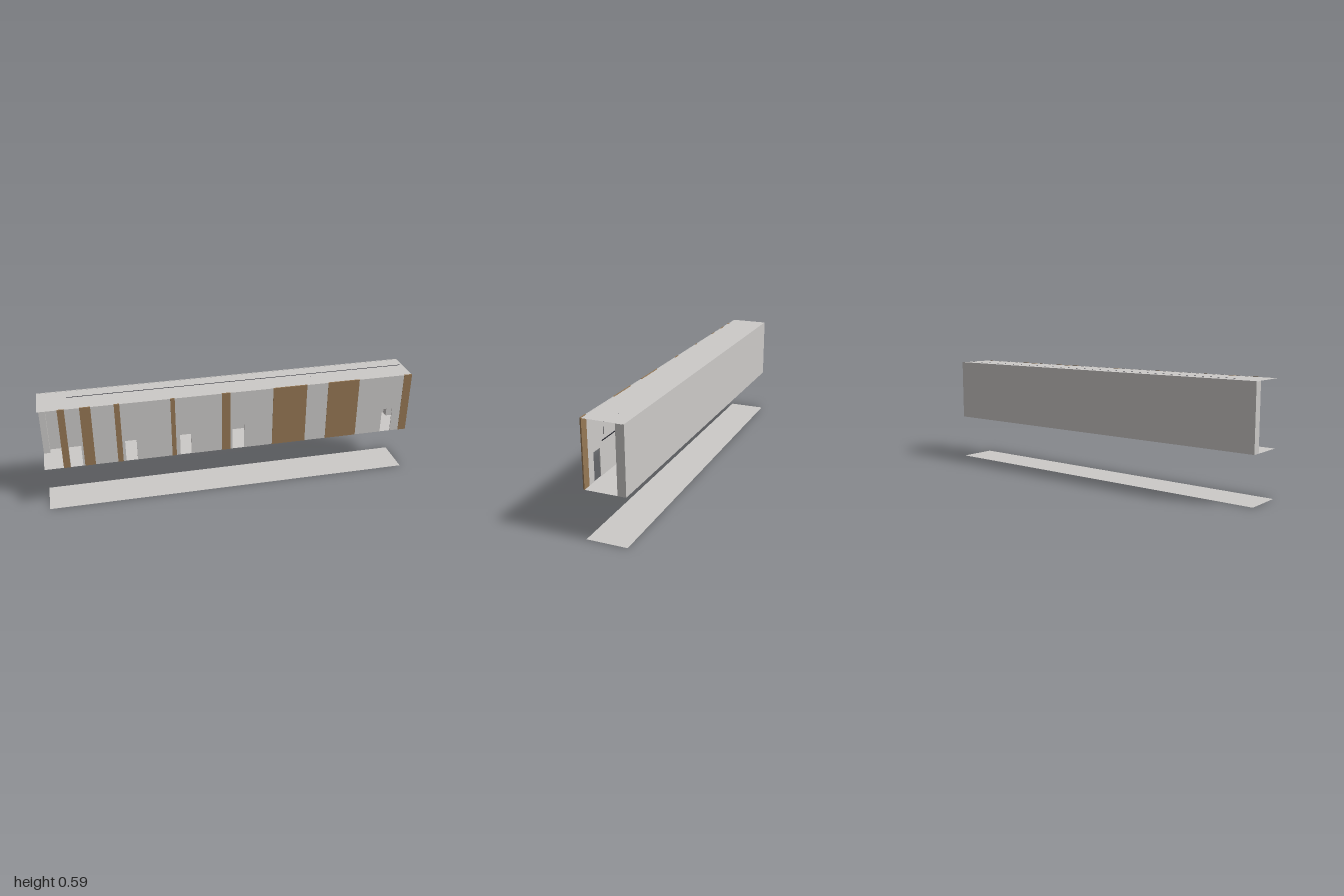
import * as THREE from 'three';

const mat = (name, color, side = THREE.FrontSide) => {
  const m = new THREE.MeshStandardMaterial({ color, side });
  m.name = name;
  return m;
};

export function createModel() {
  const root = new THREE.Group();
  root.name = 'corridor';
  const plaster = mat('plaster', 0xcccac8, THREE.DoubleSide);
  const wood = mat('wood', 0x967855);
  const dark = mat('dark metal', 0x26262e);
  const leafMat = mat('leaf', 0x33381f, THREE.DoubleSide);
  const bark = mat('bark', 0x2c2418);

  const FLOOR = 0.248, TOP = 0.587, DOOR = 0.39;
  const add = (name, geometry, material, parent = root) => {
    const m = new THREE.Mesh(geometry, material);
    m.name = name;
    parent.add(m);
    return m;
  };
  // Box given by its limits on each axis
  const box = (name, x0, x1, y0, y1, z0, z1, material) => {
    const m = add(name, new THREE.BoxGeometry(x1 - x0, y1 - y0, z1 - z0), material);
    m.position.set((x0 + x1) / 2, (y0 + y1) / 2, (z0 + z1) / 2);
    return m;
  };

  // Ground sheet, floor and ceiling
  for (const [name, y] of [['groundSheet', 0], ['floor', FLOOR], ['ceiling', TOP - 0.001]]) {
    const g = new THREE.PlaneGeometry(2, 0.208).rotateX(-Math.PI / 2);
    add(name, g, plaster).position.y = y;
  }

  // Front wall with door openings cut up from the floor
  const doors = [[-0.863, -0.8], [-0.575, -0.515], [-0.286, -0.227], [-0.003, 0.062], [0.847, 0.907]];
  const wall = new THREE.Shape();
  wall.moveTo(-0.9, TOP);
  wall.lineTo(-0.9, FLOOR);
  for (const [a, b] of doors) {
    wall.lineTo(a, FLOOR);
    wall.lineTo(a, DOOR);
    wall.lineTo(b, DOOR);
    wall.lineTo(b, FLOOR);
  }
  wall.lineTo(1, FLOOR);
  wall.lineTo(1, TOP);
  const wallGeo = new THREE.ExtrudeGeometry(wall, { depth: 0.004, bevelEnabled: false });
  add('frontWall', wallGeo, plaster).position.z = 0.101;

  // Timber panels set in the front wall
  const panels = [[-0.9, -0.865], [-0.79, -0.735], [-0.618, -0.59], [-0.33, -0.307],
    [-0.06, -0.013], [0.218, 0.404], [0.522, 0.698], [0.955, 1]];
  for (const [a, b] of panels) box('timberPanel', a, b, FLOOR, TOP + 0.0005, 0.1, 0.1065, wood);

  // Back wall and its pilasters
  box('backWall', -1, 1, FLOOR, TOP, -0.1055, -0.1, plaster);
  for (const [a, b] of [[-1, -0.967], [-0.365, -0.3], [0.295, 0.36], [0.955, 1]])
    box('pilaster', a, b, FLOOR, TOP - 0.002, -0.105, -0.063, plaster);

  // Wall screens
  for (const x of [-0.545, -0.19]) box('wallScreen', x, x + 0.2, 0.31, 0.425, -0.1, -0.094, dark);

  // Hanging light bar with wires, and ceiling track
  box('lightBar', -0.85, 0.985, 0.49, 0.493, 0.008, 0.012, dark);
  for (let i = 0; i < 8; i++) {
    const x = -0.84 + i * 0.258;
    box('lightWire', x - 0.0005, x + 0.0005, 0.493, TOP - 0.001, 0.0095, 0.0105, dark);
  }
  box('ceilingTrack', -0.85, 0.985, 0.583, 0.586, -0.031, -0.025, dark);

  // Potted plant
  const plant = new THREE.Group();
  plant.name = 'pottedPlant';
  plant.position.set(0.815, FLOOR - 0.001, -0.034);
  root.add(plant);
  add('pot', new THREE.CylinderGeometry(0.016, 0.0155, 0.028, 24), dark, plant).position.y = 0.014;

  let seed = 7;
  const rnd = () => (seed = (seed * 16807) % 2147483647) / 2147483647;
  const V = (x, y, z) => new THREE.Vector3(x, y, z);

  // Pointed leaf, folded along its middle
  const leafShape = new THREE.Shape();
  leafShape.quadraticCurveTo(0.0035, 0.005, 0, 0.011);
  leafShape.quadraticCurveTo(-0.0035, 0.005, 0, 0);
  const leafGeo = new THREE.ShapeGeometry(leafShape, 4);

  // Branch tips; every branch carries clusters of leaves
  const tips = [[0, 0.105, -0.024], [0.018, 0.098, -0.008], [-0.016, 0.1, -0.012], [0.006, 0.09, 0.012],
    [-0.012, 0.076, 0.022], [0.014, 0.07, 0.032], [0, 0.062, 0.036], [-0.02, 0.086, 0.002],
    [0.02, 0.084, 0.018], [0.004, 0.102, 0.004], [-0.008, 0.092, -0.02], [0.006, 0.064, 0.012]];
  tips.forEach(([x, y, z], i) => {
    const low = z > 0.01;
    const path = new THREE.CatmullRomCurve3([V(0, 0.024, 0.011), V(0.001, 0.045, low ? 0.013 : 0.007),
      V(x * 0.5, y * 0.78, z * 0.6 + 0.004), V(x, y, z)]);
    add('branch', new THREE.TubeGeometry(path, 10, i < 2 ? 0.0012 : 0.0007, 5), bark, plant);
    for (let k = 0; k < 16; k++) {
      const leaf = add('leaf', leafGeo, leafMat, plant);
      leaf.position.copy(path.getPoint(0.8 + 0.2 * rnd()));
      leaf.position.add(V(rnd() - 0.5, rnd() - 0.5, rnd() - 0.5).multiplyScalar(0.009));
      leaf.rotation.set(0.9 + rnd() * 1.3, rnd() * Math.PI * 2, rnd() * 0.8 - 0.4, 'YXZ');
    }
  });
  return root;
}
